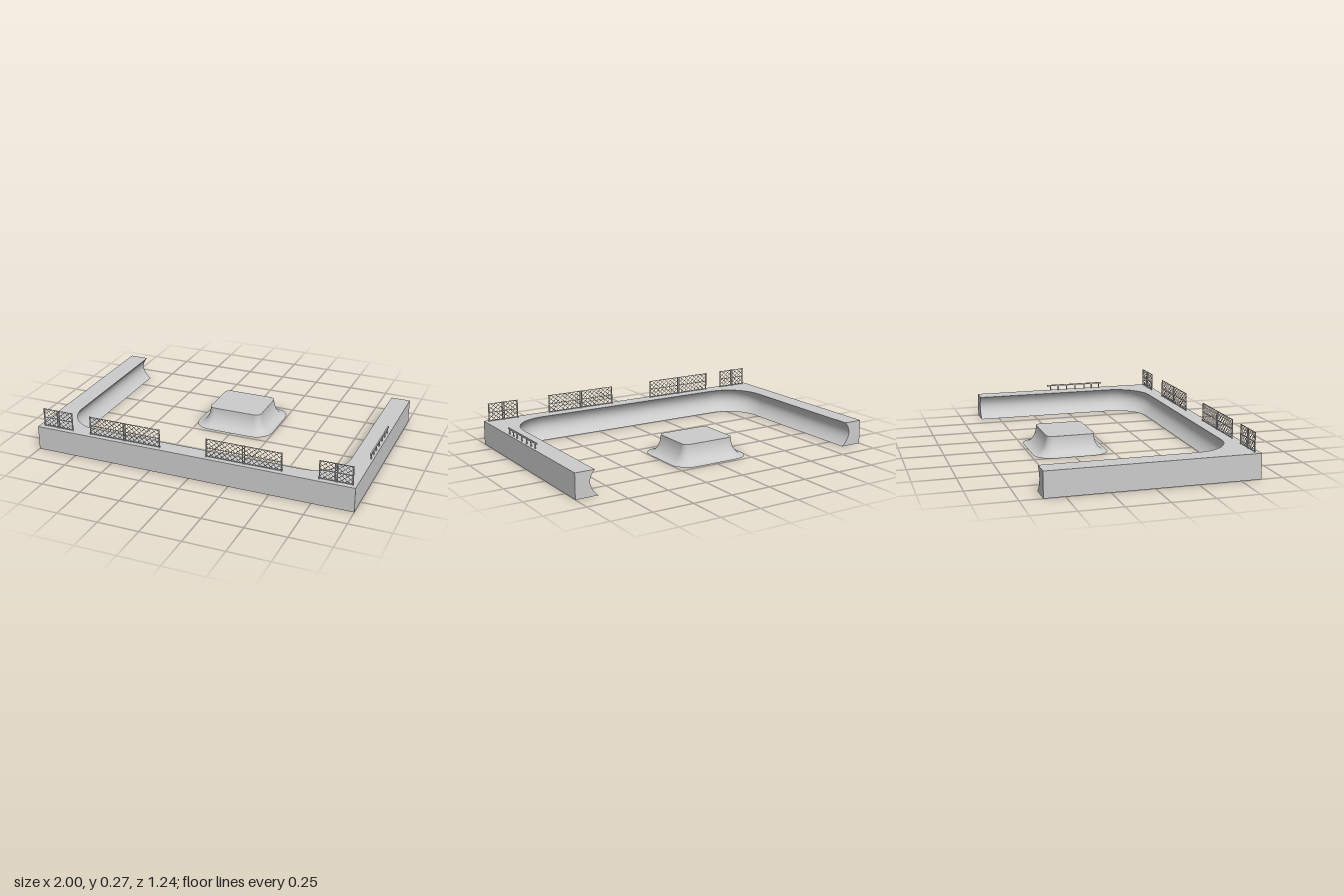
import * as THREE from 'three';

const H = 0.15, DEPTH = 0.62;
const mat = new THREE.MeshStandardMaterial({ color: 0xcccccc });

function add(parent, name, geo, x = 0, y = 0, z = 0) {
  const mesh = new THREE.Mesh(geo, mat);
  mesh.name = name;
  mesh.position.set(x, y, z);
  parent.add(mesh);
  return mesh;
}

// Smooth skin through rows of points, rows running upwards
function loft(rows) {
  const n = rows[0].length, index = [];
  for (let r = 0; r < rows.length - 1; r++) {
    for (let i = 0; i < n - 1; i++) {
      const a = r * n + i, b = a + n;
      index.push(a, a + 1, b, a + 1, b + 1, b);
    }
  }
  const geo = new THREE.BufferGeometry().setFromPoints(rows.flat());
  geo.setIndex(index);
  geo.computeVertexNormals();
  return geo;
}

// Flat horizontal face from a row of points, facing up or down
function flat(points, up) {
  const shape = new THREE.Shape(points.map(p => new THREE.Vector2(p.x, up ? -p.z : p.z)));
  return new THREE.ShapeGeometry(shape).rotateX(up ? -Math.PI / 2 : Math.PI / 2);
}

// Inner outline of the U, pushed outwards by off
function innerPath(off, y) {
  const r = 0.21 + off, cx = 0.65, cz = 0.29, pts = [];
  pts.push(new THREE.Vector3(cx + r, y, -DEPTH));
  for (const side of [1, -1]) {
    for (let i = 0; i <= 16; i++) {
      const a = (side > 0 ? i : 16 - i) / 16 * Math.PI / 2;
      pts.push(new THREE.Vector3(side * (cx + r * Math.cos(a)), y, cz + r * Math.sin(a)));
    }
  }
  pts.push(new THREE.Vector3(-cx - r, y, -DEPTH));
  return pts;
}

function buildRamp() {
  const ramp = new THREE.Group();
  ramp.name = 'quarterPipeWall';
  const N = 14;
  const profile = t => 0.02 * t + 0.16 * t * (1 - t);
  const rows = [];
  for (let k = 0; k <= N; k++) rows.push(innerPath(profile(k / N), H * k / N));
  add(ramp, 'curvedRidingSurface', loft(rows));

  // Deck and underside
  const outer = [[-1, -DEPTH], [-1, DEPTH], [1, DEPTH], [1, -DEPTH]]
    .map(([x, z]) => new THREE.Vector3(x, 0, z));
  add(ramp, 'deck', flat([...rows[N], ...outer], true), 0, H);
  add(ramp, 'underside', flat([...rows[0], ...outer], false));

  // Outer walls and the two open ends
  add(ramp, 'frontWall', new THREE.PlaneGeometry(2, H), 0, H / 2, DEPTH);
  for (const s of [1, -1]) {
    add(ramp, 'sideWall', new THREE.PlaneGeometry(2 * DEPTH, H).rotateY(s * Math.PI / 2), s, H / 2, 0);
    const end = [new THREE.Vector2(s, H), new THREE.Vector2(s, 0)];
    for (let k = 0; k <= N; k++) end.push(new THREE.Vector2(s * (0.86 + profile(k / N)), H * k / N));
    add(ramp, 'endFace', new THREE.ShapeGeometry(new THREE.Shape(end)).rotateY(Math.PI), 0, 0, -DEPTH);
  }
  return ramp;
}

// Closed rounded rectangle ring
function roundedRing(hx, hz, r, y) {
  const pts = [];
  for (let q = 0; q < 4; q++) {
    const sx = q === 0 || q === 3 ? 1 : -1, sz = q < 2 ? -1 : 1;
    for (let i = 0; i <= 8; i++) {
      const a = (q + i / 8) * Math.PI / 2;
      pts.push(new THREE.Vector3(sx * (hx - r) + r * Math.cos(a), y, sz * (hz - r) - r * Math.sin(a)));
    }
  }
  pts.push(pts[0].clone());
  return pts;
}

function buildFunBox() {
  const box = new THREE.Group();
  box.name = 'funBox';
  const N = 12, h = 0.115, rows = [];
  for (let k = 0; k <= N; k++) {
    const a = k / N * Math.PI / 2, s = 1 - Math.sin(a);
    rows.push(roundedRing(0.172 + 0.08 * s, 0.148 + 0.082 * s, 0.035 + 0.075 * s, h * (1 - Math.cos(a))));
  }
  add(box, 'curvedSides', loft(rows));
  add(box, 'topPlatform', flat(rows[N].slice(0, -1), true), 0, h);
  add(box, 'base', flat(rows[0].slice(0, -1), false));
  box.position.set(-0.0075, 0, -0.2525);
  return box;
}

// Wavy wire running along x
class WavyLine extends THREE.Curve {
  constructor(width, phase) {
    super();
    this.width = width;
    this.phase = phase;
    this.waves = Math.round(width / 0.034);
  }
  getPoint(t, target = new THREE.Vector3()) {
    const y = 0.006 * Math.cos(t * this.waves * 2 * Math.PI + this.phase);
    return target.set((t - 0.5) * this.width, y, 0);
  }
}

function buildFence(x0, x1) {
  const fence = new THREE.Group(), w = x1 - x0, h = 0.115;
  fence.name = 'wireFence';
  for (const x of [-w / 2 + 0.004, -0.006, 0.006, w / 2 - 0.004]) {
    add(fence, 'fencePost', new THREE.CylinderGeometry(0.004, 0.004, h, 8), x, h / 2, 0);
  }
  for (const y of [0.004, h / 2, h - 0.002]) {
    add(fence, 'fenceRail', new THREE.BoxGeometry(w, 0.003, 0.004), 0, y, 0);
  }
  for (let i = 0; i < 8; i++) {
    const wire = new WavyLine(w - 0.006, i % 2 * Math.PI);
    add(fence, 'meshWire', new THREE.TubeGeometry(wire, wire.waves * 8, 0.0016, 4), 0, 0.01 + i * 0.0136, 0);
  }
  fence.position.set((x0 + x1) / 2, H, 0.59);
  return fence;
}

function buildGrindRail() {
  const rail = new THREE.Group();
  rail.name = 'handRail';
  add(rail, 'railBar', new THREE.BoxGeometry(0.008, 0.009, 0.395), 0, 0.0335, 0.0725);
  for (const z of [0.255, 0.2, 0.145, 0.08, 0.015, -0.045, -0.1]) {
    add(rail, 'railPost', new THREE.BoxGeometry(0.006, 0.03, 0.007), 0, 0.015, z);
  }
  rail.position.set(0.985, H, 0);
  return rail;
}

export function createModel() {
  const model = new THREE.Group();
  model.name = 'skatePark';
  model.add(buildRamp(), buildFunBox(), buildGrindRail());
  for (const [a, b] of [[-0.97, -0.77], [-0.655, -0.19], [0.1, 0.567], [0.78, 0.98]]) {
    model.add(buildFence(a, b));
  }
  return model;
}
